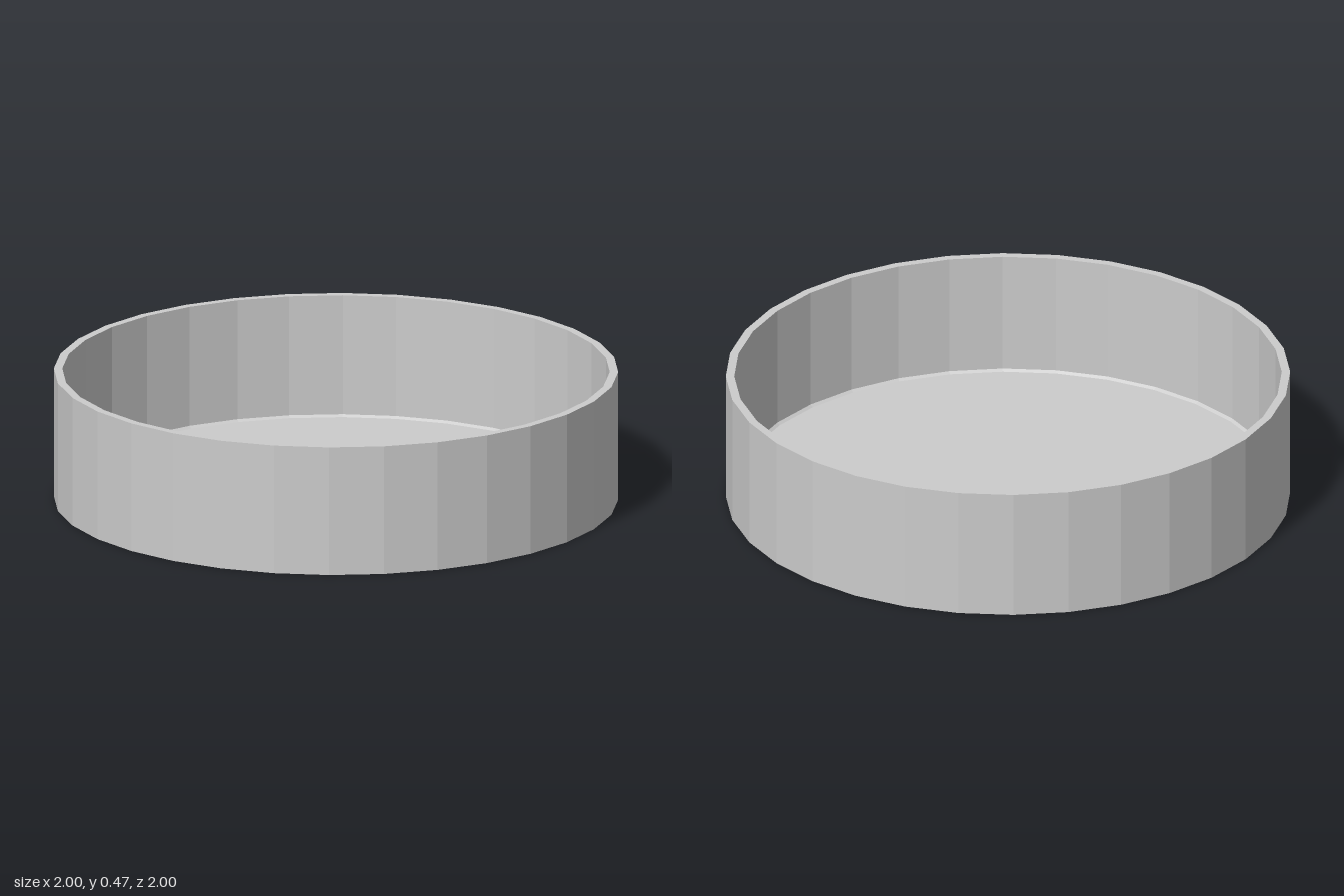
import * as THREE from 'three';

const SIDES = 32;

export function createModel() {
  const group = new THREE.Group();
  group.name = 'roundTray';
  const material = new THREE.MeshStandardMaterial({ color: 0xcccccc, flatShading: true });

  // Closed cross-section: underside, outer wall, rim, inner wall, small bevel, floor
  const profile = [
    [0, 0],
    [1, 0],
    [1, 0.47],
    [0.97, 0.47],
    [0.97, 0.032],
    [0.96, 0.024],
    [0, 0.024],
  ].map(([r, y]) => new THREE.Vector2(r, y));

  const tray = new THREE.Mesh(new THREE.LatheGeometry(profile, SIDES), material);
  tray.name = 'trayBody';
  group.add(tray);
  return group;
}
